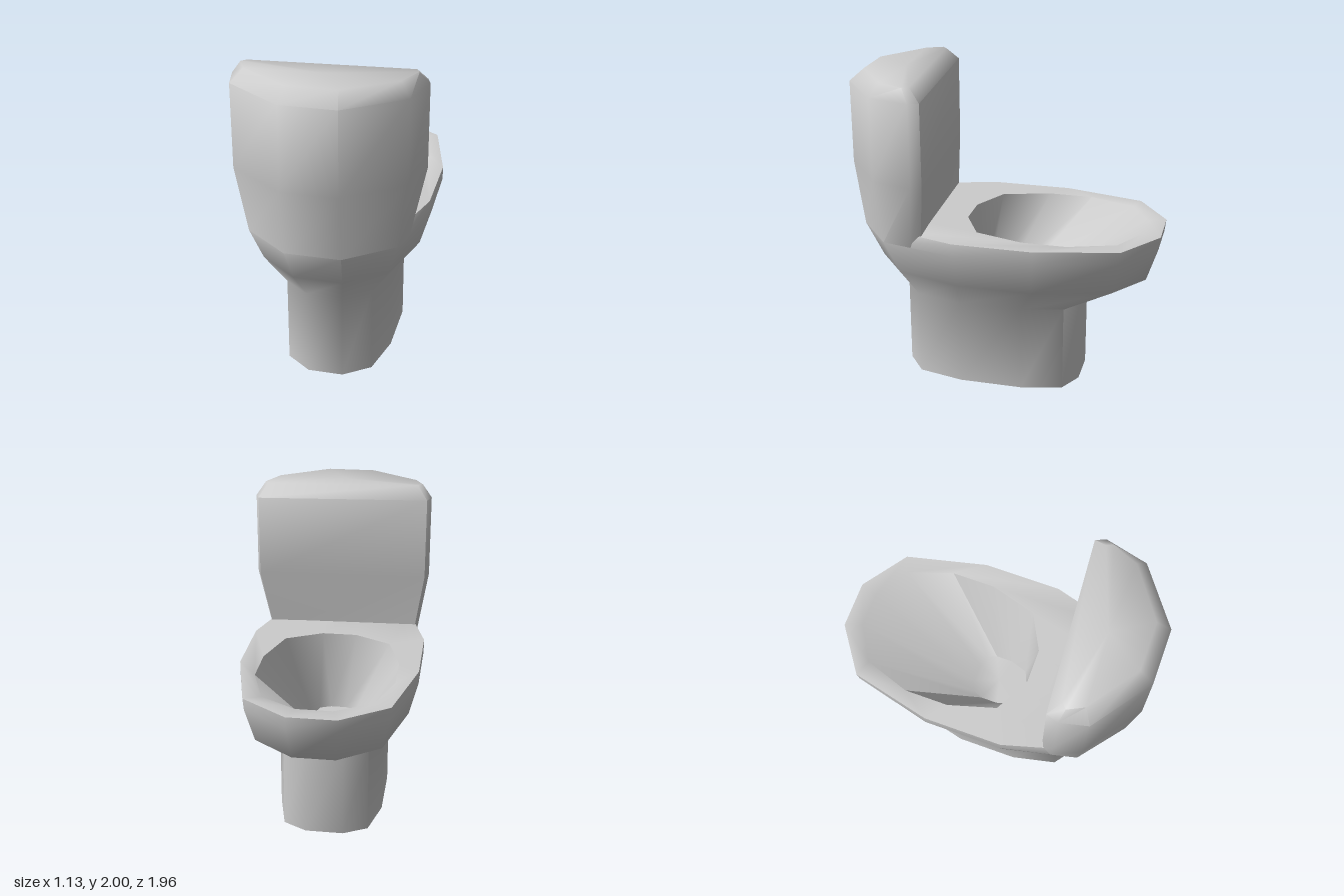
import * as THREE from 'three';
import { mergeGeometries, toCreasedNormals } from 'three/addons/utils/BufferGeometryUtils.js';

// Full 12-point ring from one side listed front (-z) to back (+z)
const CX = -0.0125;
function ring(y, half) {
  const right = half.map(([x, z]) => [CX + x, y, z]);
  const left = half.map(([x, z]) => [CX - x, y, z]).reverse();
  return [...right, ...left];
}

// Skin a stack of rings, optionally closing the first and last one
function loft(rings, capStart, capEnd) {
  const pos = [];
  const tri = (a, b, c) => pos.push(...a, ...b, ...c);
  const n = rings[0].length;
  const centre = (r) => [0, 1, 2].map((k) => r.reduce((s, p) => s + p[k], 0) / n);
  for (let j = 0; j < rings.length - 1; j++) {
    const lo = rings[j], hi = rings[j + 1];
    for (let i = 0; i < n; i++) {
      const k = (i + 1) % n;
      tri(lo[i], hi[i], lo[k]);
      tri(lo[k], hi[i], hi[k]);
    }
  }
  const first = rings[0], last = rings[rings.length - 1];
  for (let i = 0; i < n; i++) {
    const k = (i + 1) % n;
    if (capStart) tri(centre(first), first[i], first[k]);
    if (capEnd) tri(centre(last), last[k], last[i]);
  }
  const g = new THREE.BufferGeometry();
  g.setAttribute('position', new THREE.Float32BufferAttribute(pos, 3));
  return g;
}

export function createModel() {
  const group = new THREE.Group();
  group.name = 'toilet';
  const ceramic = new THREE.MeshStandardMaterial({ color: 0xcccccc });
  ceramic.name = 'ceramic';

  // Pedestal, flared bowl, flat rim, then down into the basin
  const foot = [[0.12, -0.49], [0.27, -0.41], [0.335, -0.15], [0.335, 0.25], [0.27, 0.54], [0.11, 0.66]];
  const bowl = loft([
    ring(0, foot),
    ring(0.56, foot),
    ring(0.76, [[0.13, -0.9], [0.38, -0.72], [0.5, -0.25], [0.5, 0.22], [0.39, 0.62], [0.15, 0.81]]),
    ring(0.98, [[0.15, -0.97], [0.43, -0.77], [0.557, -0.27], [0.557, 0.22], [0.45, 0.7], [0.17, 0.92]]),
    ring(1.06, [[0.15, -0.98], [0.435, -0.78], [0.557, -0.27], [0.557, 0.23], [0.44, 0.64], [0.16, 0.88]]),
    ring(1.06, [[0.11, -0.87], [0.33, -0.74], [0.428, -0.45], [0.428, -0.17], [0.34, 0.13], [0.11, 0.25]]),
    ring(0.55, [[0.06, -0.14], [0.13, -0.11], [0.157, -0.05], [0.157, 0.06], [0.12, 0.17], [0.05, 0.2]]),
  ], true, true);

  // Cistern, slightly skewed, growing out of the back of the bowl
  const at = (y, pts) => pts.map(([x, z]) => [x, y, z]);
  const wide = [[0.54, 0.405], [0.565, 0.47], [0.5, 0.73], [0.16, 0.98],
    [-0.18, 0.98], [-0.53, 0.73], [-0.57, 0.56], [-0.545, 0.485]];
  const cistern = loft([
    at(0.98, [[0.46, 0.45], [0.48, 0.51], [0.4375, 0.7], [0.1575, 0.92],
      [-0.1825, 0.92], [-0.4625, 0.7], [-0.5, 0.54], [-0.48, 0.485]]),
    at(1.4, wide),
    at(1.92, wide),
    at(2, [[0.49, 0.48], [0.51, 0.52], [0.44, 0.68], [0.14, 0.89],
      [-0.16, 0.89], [-0.46, 0.68], [-0.51, 0.58], [-0.48, 0.55]]),
  ], false, true);

  // One casting, so shading flows from bowl to cistern
  const body = new THREE.Mesh(toCreasedNormals(mergeGeometries([bowl, cistern]), 1.0), ceramic);
  body.name = 'bowlAndCistern';
  group.add(body);
  return group;
}
